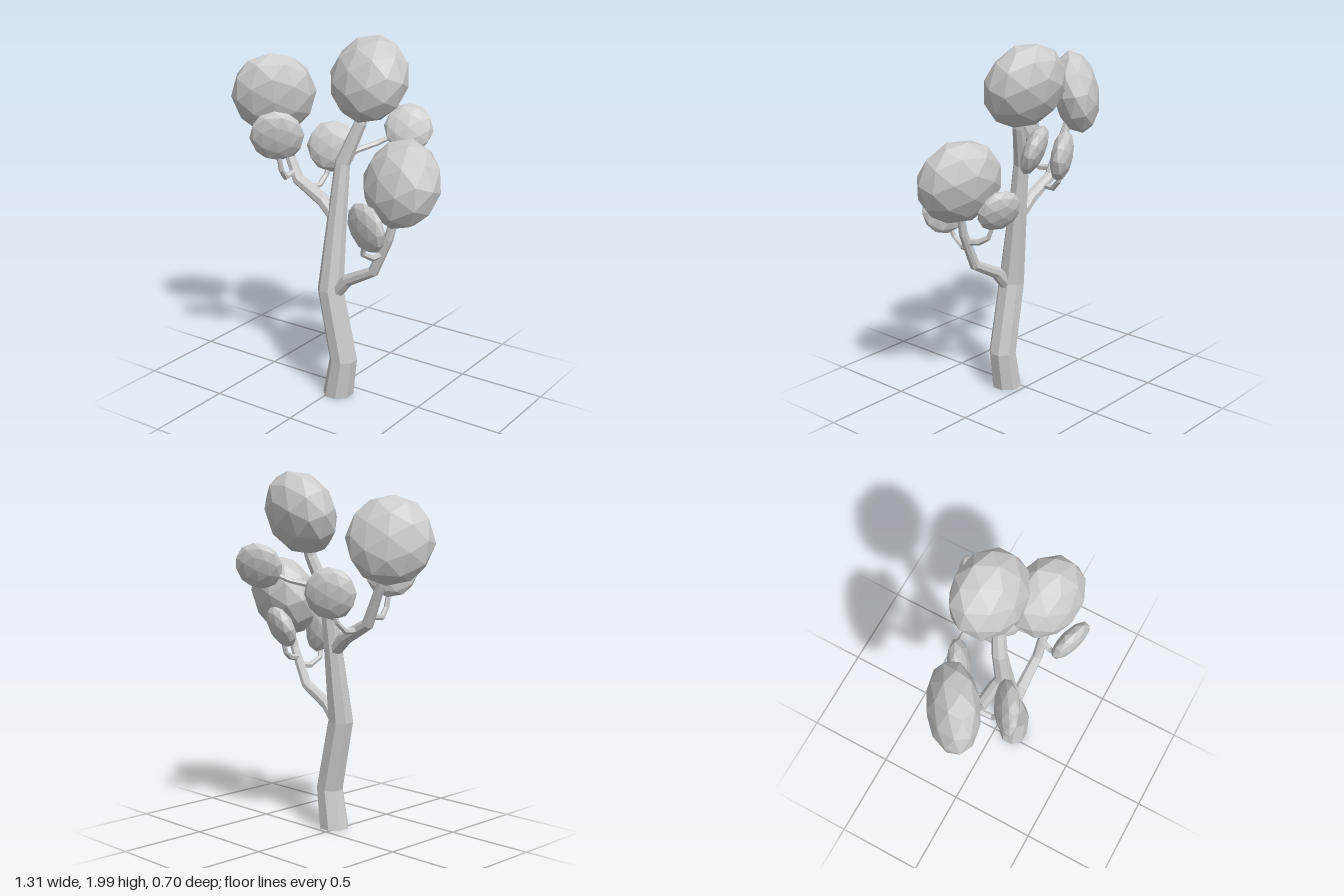
import * as THREE from 'three';

const material = new THREE.MeshStandardMaterial({ color: 0xcccccc, flatShading: true });

// Tapered, jointed limb through points [x, y, z, radius], closed at both ends
function limb(name, points, sides, startDir) {
  const centers = points.map(p => new THREE.Vector3(p[0], p[1], p[2]));
  const dirs = centers.slice(1).map((c, i) => c.clone().sub(centers[i]).normalize());
  const positions = [], index = [];
  const u = new THREE.Vector3(1, 0, 0), v = new THREE.Vector3(0, 0, -1);
  let previous = new THREE.Vector3(0, 1, 0);
  centers.forEach((c, i) => {
    const before = dirs[Math.max(i - 1, 0)], after = dirs[Math.min(i, dirs.length - 1)];
    const t = i === 0 && startDir ? startDir : before.clone().add(after).normalize();
    const turn = new THREE.Quaternion().setFromUnitVectors(previous, t);
    u.applyQuaternion(turn);
    v.applyQuaternion(turn);
    previous = t;
    for (let s = 0; s < sides; s++) {
      const a = (s + 0.5) / sides * Math.PI * 2;
      const p = c.clone().addScaledVector(u, Math.cos(a) * points[i][3])
        .addScaledVector(v, Math.sin(a) * points[i][3]);
      positions.push(p.x, p.y, p.z);
    }
  });
  const last = (points.length - 1) * sides;
  for (let s = 0; s < sides; s++) {
    const n = (s + 1) % sides;
    for (let r = 0; r < last; r += sides) {
      index.push(r + s, r + n, r + sides + n, r + s, r + sides + n, r + sides + s);
    }
    if (s > 0 && s < sides - 1) index.push(0, n, s, last, last + s, last + n);
  }
  const geometry = new THREE.BufferGeometry();
  geometry.setAttribute('position', new THREE.Float32BufferAttribute(positions, 3));
  geometry.setIndex(index);
  geometry.computeVertexNormals();
  const mesh = new THREE.Mesh(geometry, material);
  mesh.name = name;
  return mesh;
}

// Flattened faceted ball; normal is the direction of its thin axis
function foliage(name, center, normal, radius, thickness) {
  const mesh = new THREE.Mesh(new THREE.IcosahedronGeometry(1, 1), material);
  mesh.name = name;
  mesh.position.set(...center);
  mesh.scale.set(radius, radius, thickness);
  mesh.quaternion.setFromUnitVectors(new THREE.Vector3(0, 0, 1),
    new THREE.Vector3(...normal).normalize());
  return mesh;
}

export function createModel() {
  const tree = new THREE.Group();
  tree.name = 'tree';

  // Crooked trunk with a level foot
  tree.add(limb('trunk', [
    [0.04, 0, 0.105, 0.086], [0.075, 0.22, 0.105, 0.078], [-0.008, 0.62, 0.108, 0.073],
    [0.0, 1.0, 0.06, 0.055], [0.01, 1.32, 0.02, 0.043], [0.09, 1.54, -0.03, 0.034],
    [0.1, 1.68, -0.06, 0.03],
  ], 8, new THREE.Vector3(0, 1, 0)));

  // Two main branches
  tree.add(limb('rightBranch', [
    [0.0, 1.01, 0.055, 0.04], [-0.1, 1.1, 0.047, 0.039], [-0.27, 1.19, 0.045, 0.034],
    [-0.37, 1.4, 0.035, 0.026], [-0.42, 1.54, 0.02, 0.02],
  ], 8));
  tree.add(limb('leftBranch', [
    [0.02, 0.6, 0.11, 0.038], [0.11, 0.7, 0.115, 0.035], [0.28, 0.79, 0.12, 0.03],
    [0.37, 0.99, 0.115, 0.026], [0.41, 1.16, 0.1, 0.02],
  ], 8));

  // Thin twigs carrying the small foliage
  const twigs = [
    ['rightFrontTwig', [[-0.29, 1.23, 0.05], [-0.285, 1.22, 0.14], [-0.28, 1.27, 0.18], [-0.28, 1.38, 0.205]]],
    ['rightBackTwig', [[-0.2, 1.15, 0.04], [-0.185, 1.15, -0.04], [-0.175, 1.2, -0.09], [-0.165, 1.29, -0.12]]],
    ['leftFrontTwig', [[0.33, 0.9, 0.12], [0.31, 0.89, 0.18], [0.3, 0.93, 0.25], [0.33, 1.04, 0.28]]],
    ['leftBackTwig', [[0.345, 0.94, 0.115], [0.33, 0.95, 0.04], [0.31, 0.98, -0.01], [0.3, 1.09, -0.05]]],
    ['upperBackTwig', [[0.02, 1.36, 0.01], [0.05, 1.38, -0.06], [0.12, 1.41, -0.16], [0.2, 1.46, -0.24]]],
  ];
  for (const [name, path] of twigs) {
    tree.add(limb(name, path.map((p, i) => [...p, 0.019 - i * 0.002]), 6));
  }

  // Large crowns
  tree.add(foliage('topCrown', [0.105, 1.77, -0.088], [-0.17, 0.38, 0.91], 0.238, 0.17));
  tree.add(foliage('rightCrown', [-0.452, 1.64, 0.015], [0.6, -0.18, 0.78], 0.235, 0.13));
  tree.add(foliage('leftCrown', [0.425, 1.293, 0.085], [-0.28, 0.33, 0.9], 0.238, 0.17));

  // Small leaf clusters
  tree.add(foliage('upperBackCluster', [0.243, 1.487, -0.268], [0.45, 0.35, 0.82], 0.135, 0.055));
  tree.add(foliage('rightFrontCluster', [-0.277, 1.468, 0.217], [0.55, -0.25, 0.8], 0.148, 0.055));
  tree.add(foliage('rightBackCluster', [-0.158, 1.355, -0.125], [0.5, 0.15, 0.85], 0.143, 0.06));
  tree.add(foliage('leftFrontCluster', [0.338, 1.092, 0.28], [-0.3, -0.15, 0.94], 0.138, 0.055));
  tree.add(foliage('leftBackCluster', [0.288, 1.135, -0.065], [-0.3, 0.4, 0.86], 0.125, 0.06));

  return tree;
}
